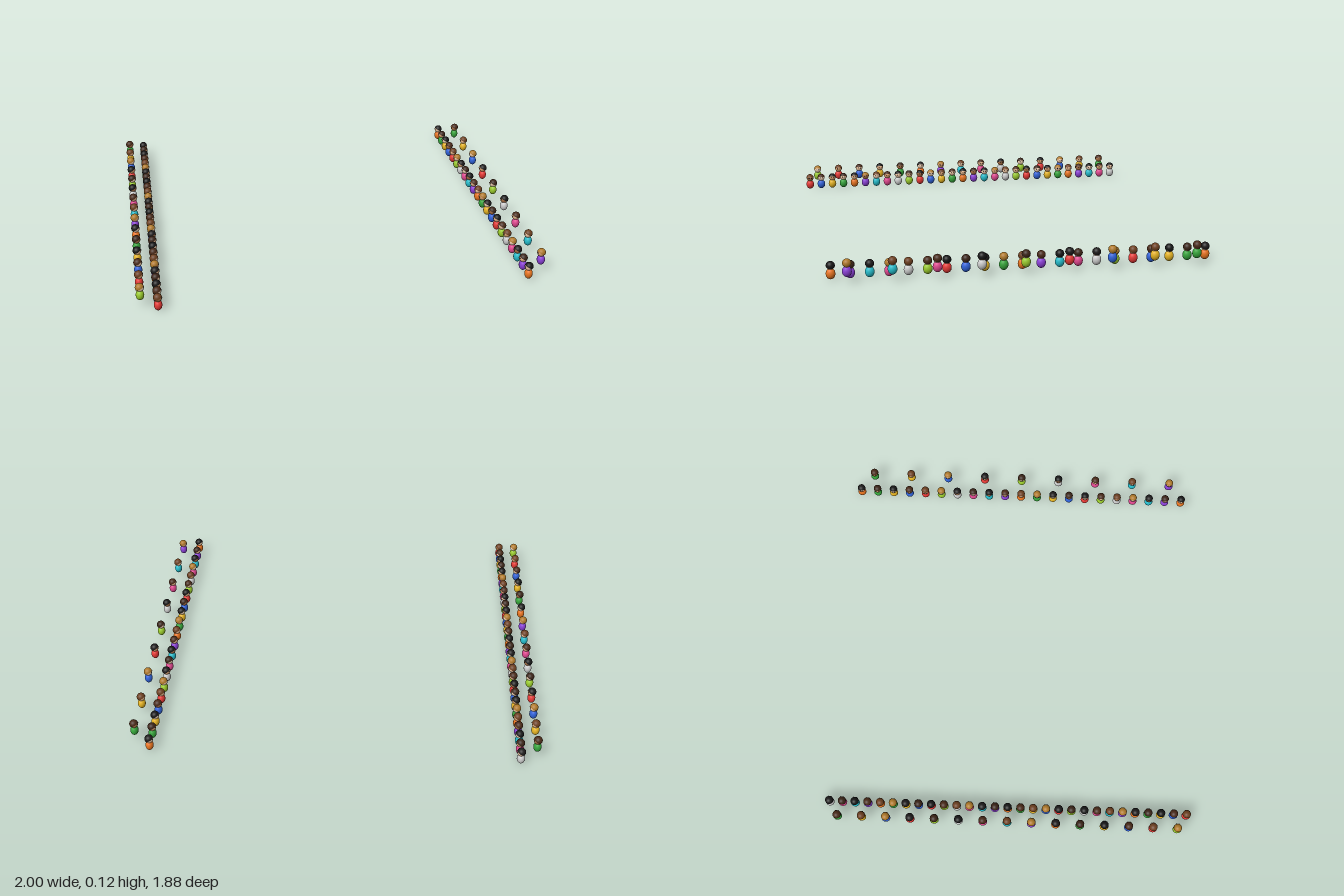
import * as THREE from 'three';

const SHIRTS = [0xe53935, 0x2f62d9, 0xe6b422, 0x35a53a, 0xe8741e, 0x8a3fd6, 0x25bccb, 0xe0478f, 0xeeeeee, 0x9acb2c];
const HAIR = [0x1c1a1a, 0x3b2417, 0x161616, 0x4a2a18, 0x6e4020, 0xb07a2a];
const SKIN = [0xf1c9a5, 0xd9a06f, 0xf3d3b5, 0xa86f43, 0xe6b58a];

// x, floor height, half length in z, number of people, first shirt, first hair
const ROWS = [
  { name: 'leftFrontRow', x: -0.898, y: 0, z: 0.92, count: 29, shirt: 8, hair: 0 },
  { name: 'leftBackRow', x: -0.978, y: 0.033, z: 0.87, count: 15, shirt: 3, hair: 3 },
  { name: 'rightFrontRow', x: 0.894, y: 0, z: 0.9, count: 21, shirt: 4, hair: 0 },
  { name: 'rightBackRow', x: 0.977, y: 0.033, z: 0.83, count: 9, shirt: 3, hair: 3 },
];

export function createModel() {
  const model = new THREE.Group();
  model.name = 'spectators';

  const bodyGeometry = new THREE.SphereGeometry(1, 18, 14).scale(0.02, 0.0265, 0.0225);
  const headGeometry = new THREE.SphereGeometry(0.0195, 16, 12);
  // hair cap tipped towards the back of the head
  const hairGeometry = new THREE.SphereGeometry(0.0213, 18, 10, 0, Math.PI * 2, 0, Math.PI * 0.54).rotateZ(0.5);
  const eyeGeometry = new THREE.SphereGeometry(0.0026, 8, 6);

  const materials = new Map();
  const paint = (color, side = THREE.FrontSide) => {
    const key = color + '/' + side;
    if (!materials.has(key)) materials.set(key, new THREE.MeshStandardMaterial({ color, side }));
    return materials.get(key);
  };

  // one person facing +x
  function person(shirt, hair, skin) {
    const group = new THREE.Group();
    group.name = 'spectator';
    const add = (name, geometry, material, x, y, z) => {
      const mesh = new THREE.Mesh(geometry, material);
      mesh.name = name;
      mesh.position.set(x, y, z);
      group.add(mesh);
    };
    add('body', bodyGeometry, paint(shirt), 0, 0.0265, 0);
    add('head', headGeometry, paint(skin), 0.001, 0.064, 0);
    add('hair', hairGeometry, paint(hair, THREE.DoubleSide), -0.0005, 0.0655, 0);
    for (const side of [-1, 1]) add('eye', eyeGeometry, paint(0x151515), 0.0188, 0.066, side * 0.0068);
    return group;
  }

  // rows on both sides look towards the middle
  for (const row of ROWS) {
    const group = new THREE.Group();
    group.name = row.name;
    for (let i = 0; i < row.count; i++) {
      const p = person(
        SHIRTS[(row.shirt + 9 * i) % SHIRTS.length],
        HAIR[(row.hair + i) % HAIR.length],
        SKIN[(row.hair + i) % SKIN.length]
      );
      p.position.set(row.x, row.y, -row.z + (2 * row.z * i) / (row.count - 1));
      p.rotation.y = row.x > 0 ? Math.PI : 0;
      group.add(p);
    }
    model.add(group);
  }
  return model;
}
